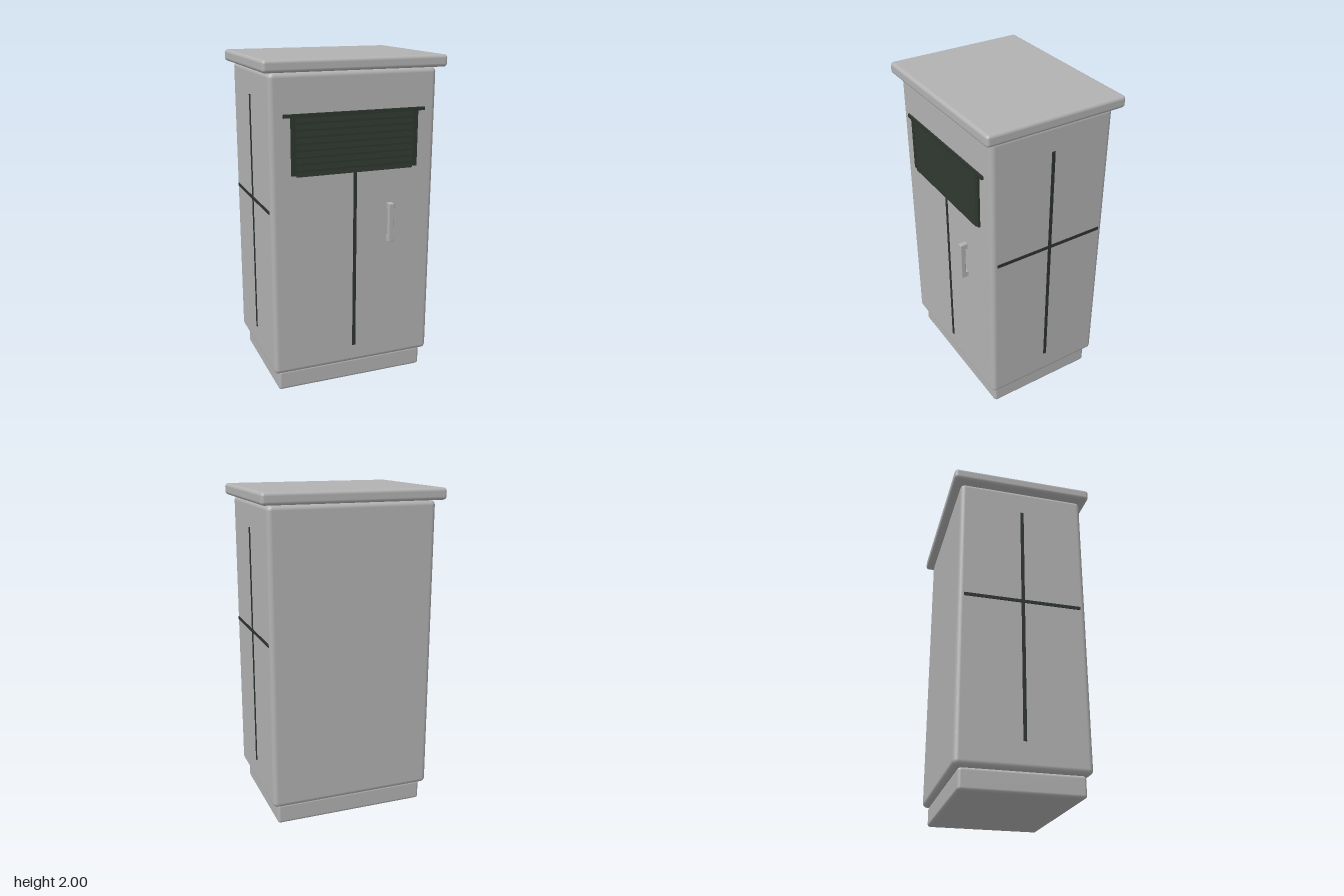
import * as THREE from 'three';
import { RoundedBoxGeometry } from 'three/addons/geometries/RoundedBoxGeometry.js';

export function createModel() {
  const group = new THREE.Group();
  const mat = (name, color) => {
    const m = new THREE.MeshStandardMaterial({ color });
    m.name = name;
    return m;
  };
  const metal = mat('grey metal', 0xb2b2b2);
  const seamDark = mat('seam dark', 0x2d3331);
  const ventDark = mat('vent dark green', 0x2d352d);

  const add = (name, geometry, material, x, y, z, parent = group) => {
    const mesh = new THREE.Mesh(geometry, material);
    mesh.name = name;
    mesh.position.set(x, y, z);
    parent.add(mesh);
    return mesh;
  };
  const box = (w, h, d) => new THREE.BoxGeometry(w, h, d);
  const rounded = (w, h, d, r) => new RoundedBoxGeometry(w, h, d, 3, r);

  // Cabinet shell: plinth, body and overhanging lid
  add('plinth', rounded(0.954, 0.125, 0.714, 0.018), metal, 0, 0.0625, 0);
  add('body', rounded(1.02, 1.804, 0.78, 0.03), metal, 0, 1.026, 0);
  add('lid', rounded(1.108, 0.07, 0.874, 0.02), metal, 0, 1.965, 0);

  // Door seam on the front
  add('doorSeam', box(0.02, 1.12, 0.008), seamDark, 0, 0.8, 0.39);

  // Crossed seams on both sides
  for (const side of [-1, 1]) {
    add('sideSeamVertical', box(0.008, 1.49, 0.02), seamDark, side * 0.51, 1.025, 0);
    add('sideSeamHorizontal', box(0.008, 0.02, 0.71), seamDark, side * 0.51, 1.14, 0);
  }

  // Louvred vent
  const vent = new THREE.Group();
  vent.name = 'vent';
  group.add(vent);
  add('ventBacking', box(0.74, 0.335, 0.006), ventDark, 0, 1.52, 0.391, vent);
  add('ventTopRail', box(0.866, 0.02, 0.014), ventDark, 0, 1.692, 0.395, vent);
  for (const side of [-1, 1]) {
    add('ventPost', box(0.03, 0.335, 0.014), ventDark, side * 0.375, 1.522, 0.395, vent);
  }
  const slatCount = 9;
  for (let i = 0; i < slatCount; i++) {
    const slat = add('ventSlat', box(0.72, 0.026, 0.008), ventDark, 0, 1.358 + i * 0.0385, 0.397, vent);
    slat.rotation.x = -0.2;
  }

  // Door handle: grip bar on two short mounts
  const handle = new THREE.Group();
  handle.name = 'handle';
  group.add(handle);
  add('handleGrip', rounded(0.032, 0.24, 0.03, 0.004), metal, 0.22, 1.022, 0.42, handle);
  for (const y of [0.92, 1.124]) {
    add('handleMount', box(0.03, 0.034, 0.03), metal, 0.22, y, 0.4, handle);
  }
  return group;
}
